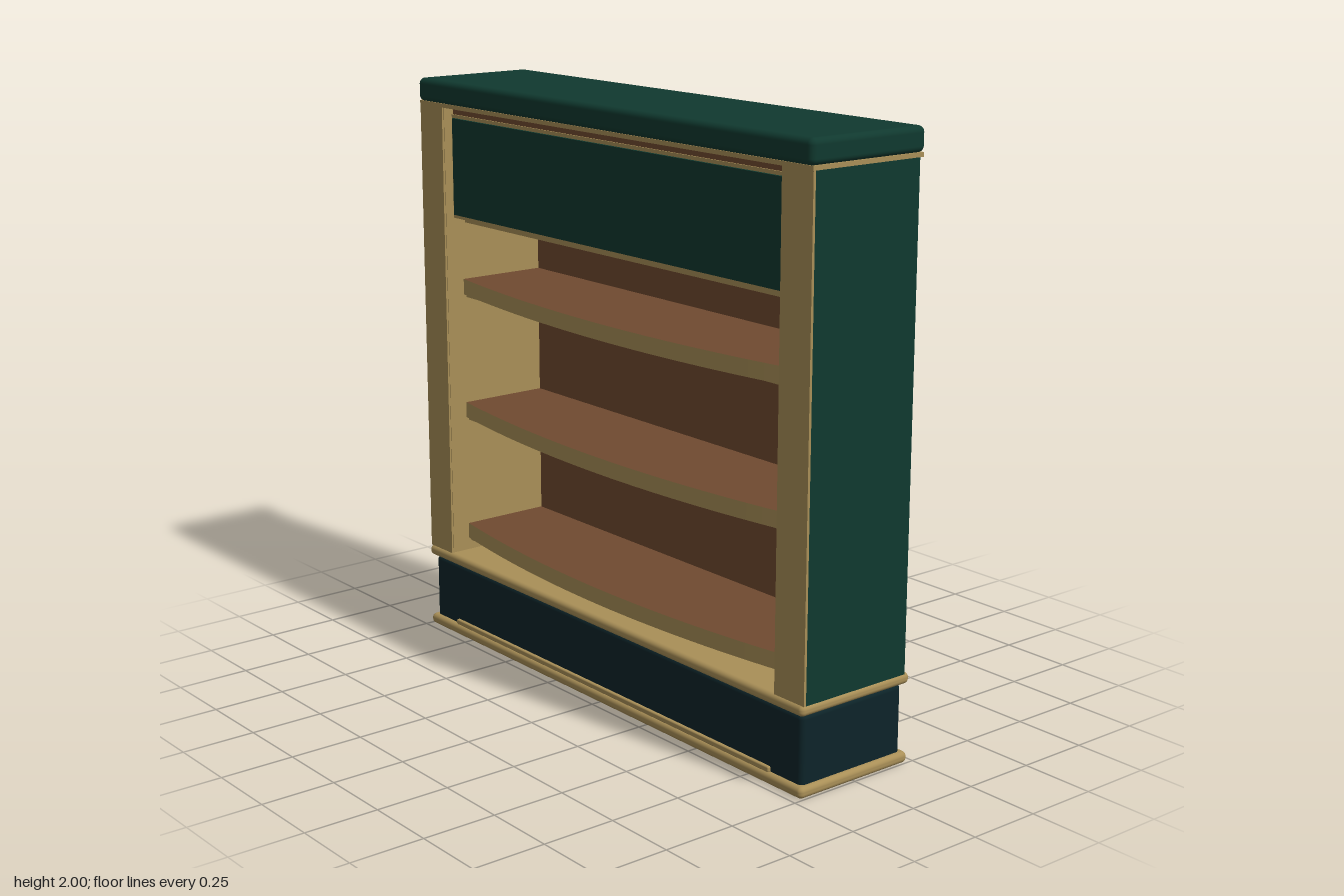
import * as THREE from 'three';
import { RoundedBoxGeometry } from 'three/addons/geometries/RoundedBoxGeometry.js';

const mat = (name, color) => Object.assign(new THREE.MeshStandardMaterial({ color }), { name });

export function createModel() {
  const green = mat('dark green paint', 0x10392f);
  const navy = mat('blue black paint', 0x0d2429);
  const brass = mat('antique gold', 0xa98f57);
  const brown = mat('walnut', 0x704a30);
  const model = new THREE.Group();

  const add = (name, geometry, material) => {
    const mesh = new THREE.Mesh(geometry, material);
    mesh.name = name;
    model.add(mesh);
    return mesh;
  };
  // Box given by its limits on each axis; a radius rounds the edges
  const block = (name, material, [x0, x1], [y0, y1], [z0, z1], radius = 0) => {
    const size = [x1 - x0, y1 - y0, z1 - z0];
    const geometry = radius
      ? new RoundedBoxGeometry(...size, 4, radius)
      : new THREE.BoxGeometry(...size);
    geometry.translate((x0 + x1) / 2, (y0 + y1) / 2, (z0 + z1) / 2);
    return add(name, geometry, material);
  };

  // Plinth with its two rounded mouldings
  block('bottomMoulding', brass, [-1, 1], [0, 0.038], [-0.228, 0.228], 0.016);
  block('plinth', navy, [-0.983, 0.983], [0.02, 0.265], [-0.21, 0.21], 0.018);
  block('plinthMoulding', brass, [-1, 1], [0.265, 0.302], [-0.228, 0.228], 0.016);
  block('plinthTrim', brass, [-0.845, 0.845], [0.036, 0.055], [0.205, 0.221], 0.005);

  // Crown
  block('crownTrim', brass, [-0.998, 0.998], [1.908, 1.922], [-0.22, 0.22]);
  block('crown', green, [-1, 1], [1.92, 2], [-0.228, 0.228], 0.02);

  // Side posts with gold facings and inner linings
  for (const side of [-1, 1]) {
    const span = (a, b) => [Math.min(a * side, b * side), Math.max(a * side, b * side)];
    const label = side > 0 ? 'left' : 'right';
    block(label + 'Post', green, span(0.872, 0.998), [0.3, 1.91], [-0.205, 0.21]);
    block(label + 'PostFacing', brass, span(0.866, 0.998), [0.3, 1.91], [0.21, 0.219]);
    block(label + 'InnerLining', brass, span(0.864, 0.872), [0.3, 1.91], [-0.18, 0.212]);
  }

  // Back panel and ceiling
  block('backPanel', brown, [-0.872, 0.872], [0.3, 1.91], [-0.195, -0.18]);
  block('ceiling', brown, [-0.866, 0.866], [1.88, 1.91], [-0.18, 0.175]);

  // Header board with a gold frame
  block('headerFrame', brass, [-0.866, 0.866], [1.522, 1.882], [0.15, 0.18]);
  block('headerPanel', green, [-0.85, 0.85], [1.535, 1.87], [0.18, 0.189]);
  block('headerUnderTrim', brass, [-0.82, 0.82], [1.51, 1.522], [0.145, 0.165]);

  // Bow-fronted shelves: walnut faces, gold edges
  const halfWidth = 0.864;
  const outline = new THREE.Shape();
  outline.moveTo(-halfWidth, -0.18);
  outline.lineTo(halfWidth, -0.18);
  outline.lineTo(halfWidth, 0.145);
  outline.quadraticCurveTo(0, 0.295, -halfWidth, 0.145);
  outline.closePath();
  for (const top of [0.4, 0.852, 1.3]) {
    const geometry = new THREE.ExtrudeGeometry(outline, {
      depth: 0.055, bevelEnabled: false, curveSegments: 28,
    });
    geometry.rotateX(Math.PI / 2);
    geometry.translate(0, top, 0);
    add('shelf', geometry, [brown, brass]);
    // Slim rail below the shelf
    block('shelfRail', brass, [-halfWidth, halfWidth], [top - 0.066, top - 0.055], [0.11, 0.135]);
  }

  return model;
}
